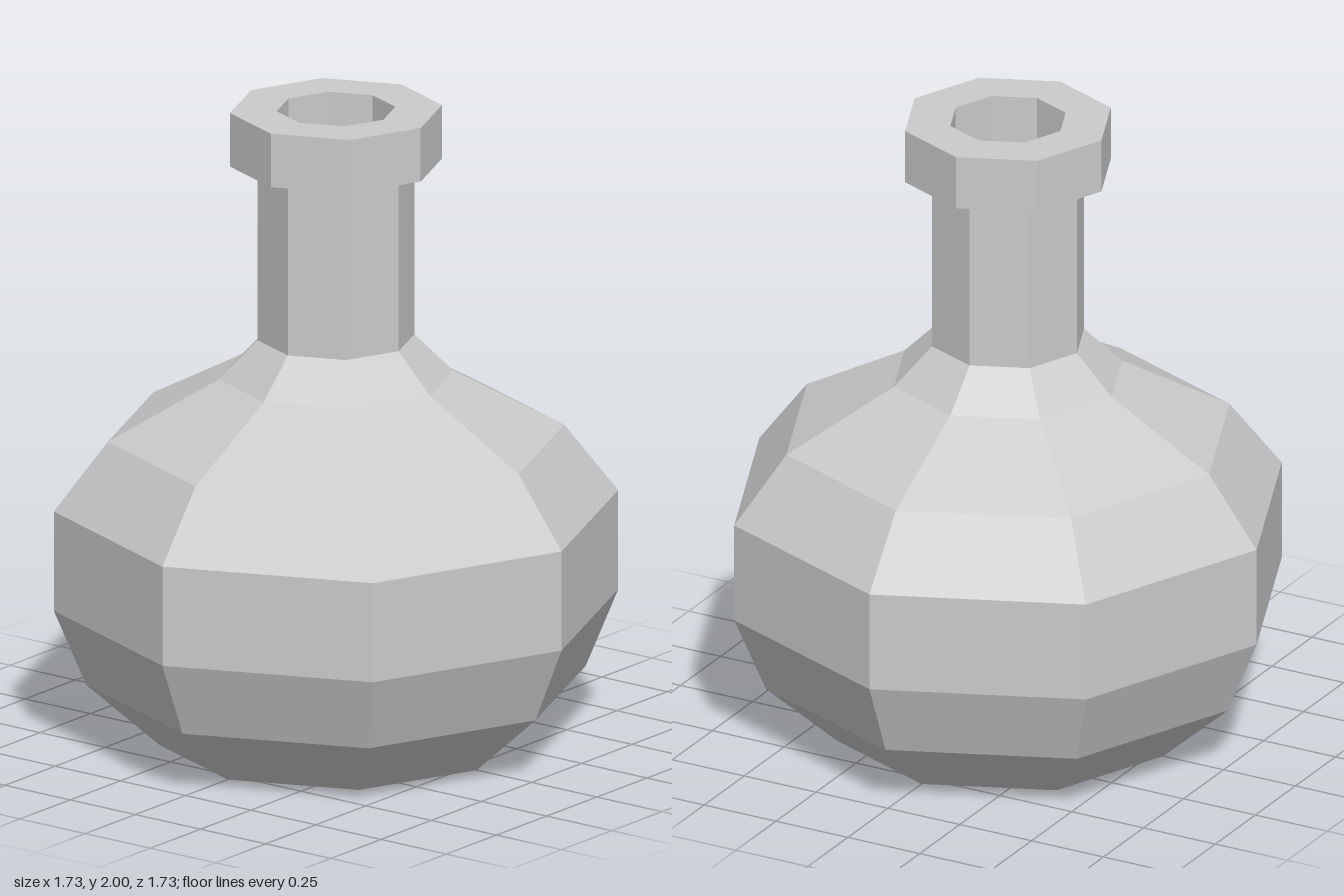
import * as THREE from 'three';

const SIDES = 8;

export function createModel() {
  const flask = new THREE.Group();
  flask.name = 'flask';
  const material = new THREE.MeshStandardMaterial({ color: 0xcccccc, flatShading: true });

  // Turns a [radius, height] profile into an eight-sided part with corners on the axes
  function turned(name, profile) {
    const points = profile.map(([r, y]) => new THREE.Vector2(r, y));
    const mesh = new THREE.Mesh(new THREE.LatheGeometry(points, SIDES), material);
    mesh.name = name;
    flask.add(mesh);
  }

  // Closed base and bulging belly
  turned('belly', [[0, 0], [0.54, 0], [0.765, 0.2], [0.865, 0.44], [0.865, 0.755]]);

  // Shoulder tapering into the neck
  turned('shoulder', [[0.865, 0.755], [0.7, 0.97], [0.36, 1.155], [0.24, 1.275]]);

  // Straight neck
  turned('neck', [[0.24, 1.275], [0.24, 1.83]]);

  // Wide lip around the mouth
  turned('lip', [[0.24, 1.83], [0.325, 1.83], [0.325, 2], [0.182, 2]]);

  // Inner wall of the mouth, closed at the foot of the neck
  turned('mouth', [[0.182, 2], [0.182, 1.275], [0, 1.275]]);

  return flask;
}
